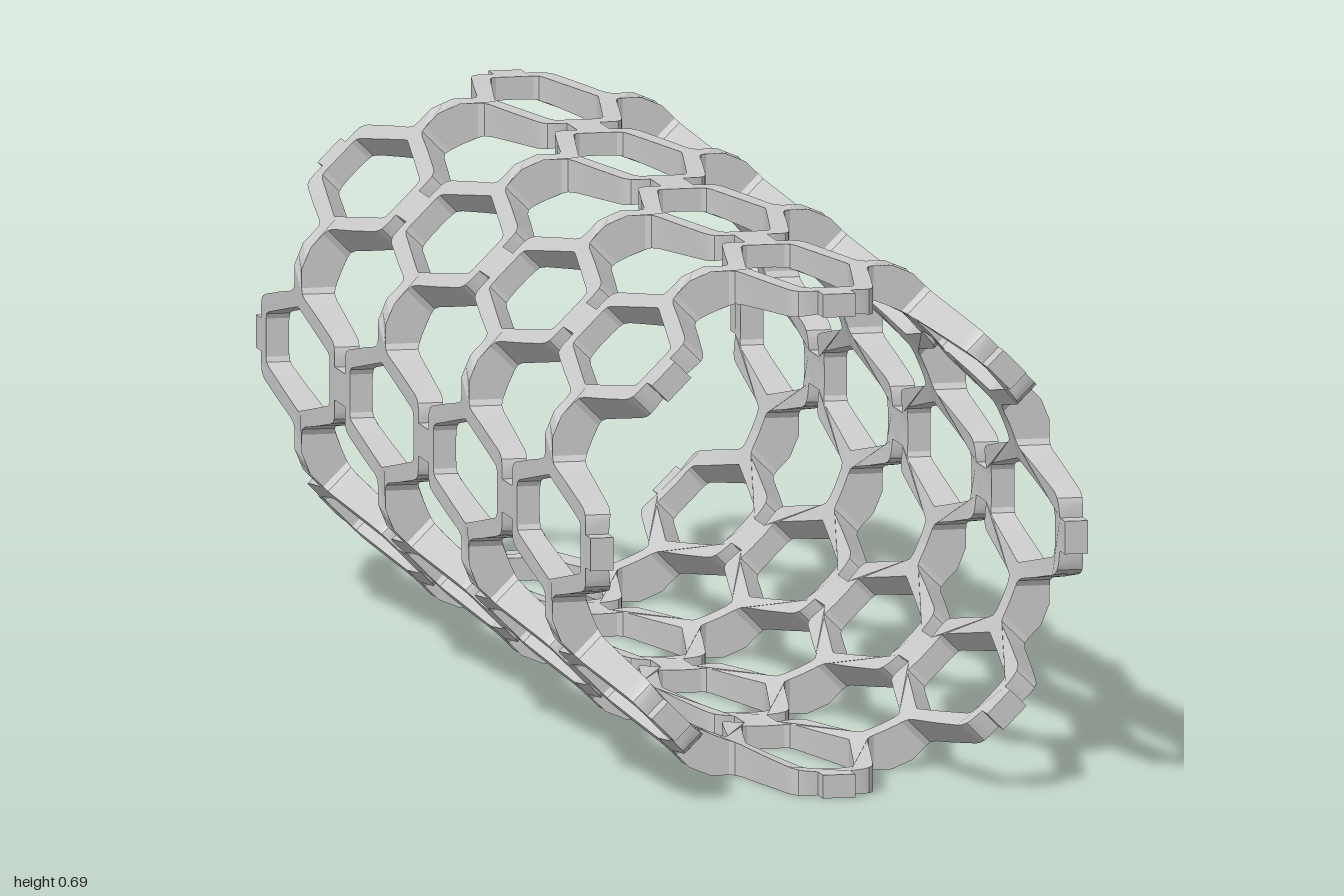
import * as THREE from 'three';
import { toCreasedNormals } from 'three/addons/utils/BufferGeometryUtils.js';

const APOTHEM = 0.3435;  // outer flats
const CHAMFER = 0.3652;  // outer corner facets
const BORE = 0.3125;     // round inside
const SIDES = 8, CELLS = 4, PITCH = 0.5;
const SEAM = 0.1398;     // half width of a panel at its outer edge

// Quarter outlines of one cell: u across the panel, v along the tube
const outerQuarter = [
  [0.0225, -0.25], [0.0225, -0.22], [0.04, -0.22], [0.049, -0.217], [0.055, -0.209], [0.059, -0.195],
  [0.075, -0.11], [0.087, -0.04], [0.092, -0.026], [0.1, -0.022], [0.125, -0.022], [SEAM, -0.022],
];
const holeQuarter = [
  [0.012, -0.19], [0.026, -0.19], [0.033, -0.187], [0.037, -0.177], [0.054, -0.09], [0.069, -0.012], [0.071, 0],
];

const mirrorV = (pts) => pts.map(([u, v]) => [u, -v]).reverse();
const mirrorU = (pts) => pts.map(([u, v]) => [-u, v]).reverse();
const toVectors = (pts) => pts.map(([u, v]) => new THREE.Vector2(u, v));

// One lengthwise strip: a chain of hexagonal cells with side bridges
function stripGeometry() {
  const cellSide = [...outerQuarter, ...mirrorV(outerQuarter)];
  const holeSide = [...holeQuarter, ...mirrorV(holeQuarter).slice(1)];
  const side = [], holes = [];
  for (let i = 0; i < CELLS; i++) {
    const c = (i - (CELLS - 1) / 2) * PITCH;
    const shift = ([u, v]) => [u, v + c];
    // neighbouring cells share the joint point
    side.push(...cellSide.slice(i ? 1 : 0).map(shift));
    holes.push(new THREE.Path(toVectors([...holeSide, ...mirrorU(holeSide)].map(shift))));
  }
  const shape = new THREE.Shape(toVectors([...side, ...mirrorU(side)]));
  shape.holes = holes;
  const geo = new THREE.ExtrudeGeometry(shape, { depth: 1, bevelEnabled: false });

  // Fit the underside to the round bore and the top to the chamfered octagon
  const p = geo.attributes.position;
  const a = Math.PI / SIDES;
  for (let i = 0; i < p.count; i++) {
    let u = p.getX(i);
    const v = p.getY(i);
    let d;
    if (p.getZ(i) > 0.5) {
      d = Math.min(APOTHEM, (CHAMFER - Math.abs(u) * Math.sin(a)) / Math.cos(a));
    } else {
      if (Math.abs(u) > 0.11) u *= BORE * Math.sin(a) / SEAM;
      d = Math.sqrt(BORE * BORE - u * u);
    }
    p.setXYZ(i, u, d, -v);
  }
  return toCreasedNormals(geo, 0.38);
}

export function createModel() {
  const model = new THREE.Group();
  model.name = 'latticeTube';
  const material = new THREE.MeshStandardMaterial({ color: 0xcccccc });
  const geometry = stripGeometry();
  for (let i = 0; i < SIDES; i++) {
    const strip = new THREE.Mesh(geometry, material);
    strip.name = `cellStrip${i + 1}`;
    strip.rotation.z = (i / SIDES) * Math.PI * 2;
    strip.position.y = APOTHEM;
    model.add(strip);
  }
  return model;
}
